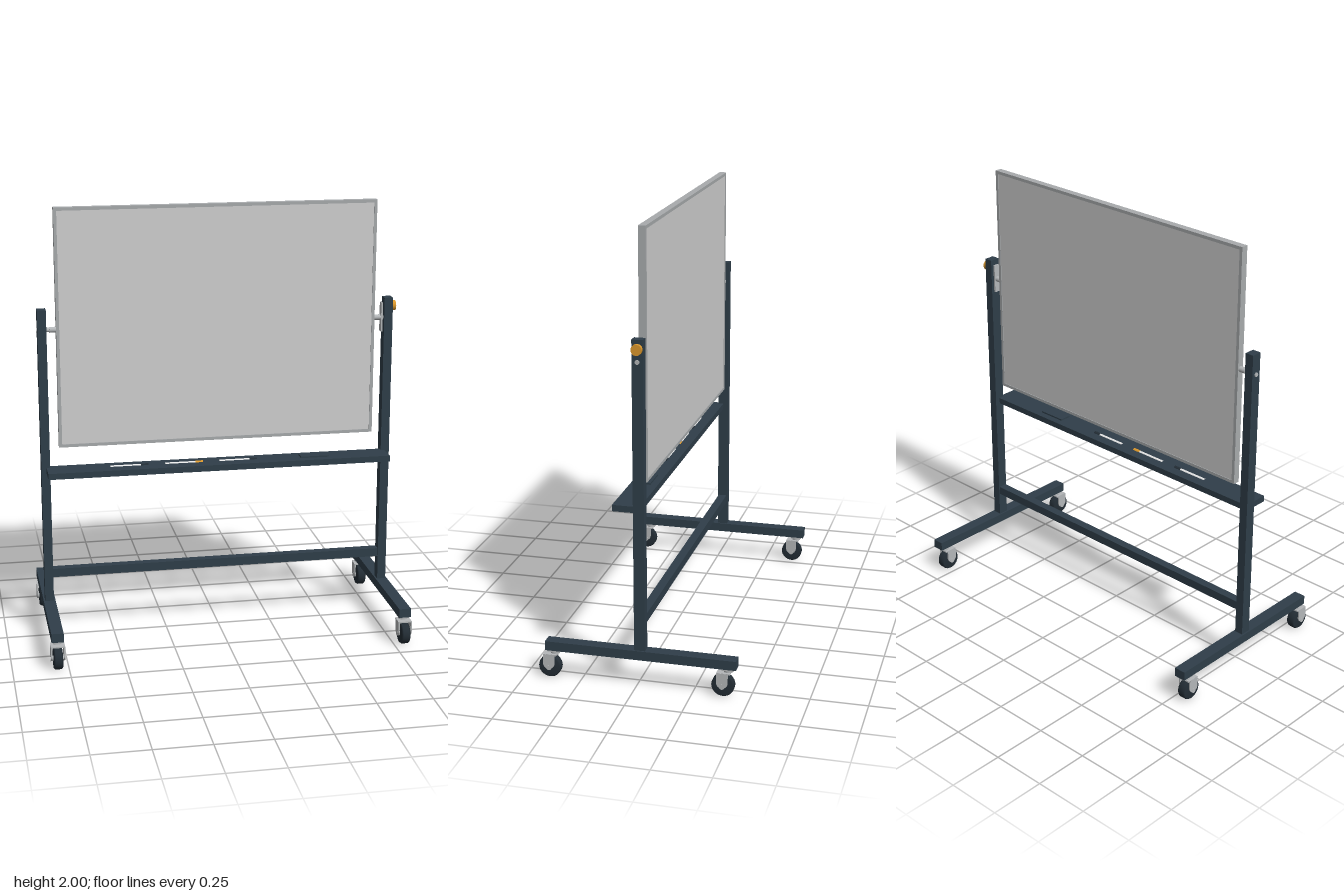
import * as THREE from 'three';

const CZ = -0.017; // depth of the post plane

export function createModel() {
  const model = new THREE.Group();
  model.name = 'mobileWhiteboard';
  const mat = (name, color) => {
    const m = new THREE.MeshStandardMaterial({ color });
    m.name = name;
    return m;
  };
  const steel = mat('dark steel', 0x2f3e49);
  const rubber = mat('rubber', 0x232d35);
  const metal = mat('light metal', 0xb4b7b9);
  const frameGrey = mat('frame grey', 0xa8abad);
  const panelWhite = mat('panel white', 0xd0d0d0);
  const penWhite = mat('pen white', 0xeeeeee);
  const amber = mat('amber', 0xdc982c);

  const add = (parent, name, geo, material, x, y, z) => {
    const m = new THREE.Mesh(geo, material);
    m.name = name;
    m.position.set(x, y, z);
    parent.add(m);
    return m;
  };
  const box = (parent, name, material, w, h, d, x, y, z) =>
    add(parent, name, new THREE.BoxGeometry(w, h, d), material, x, y, z);
  // Cylinder lying along x
  const rod = (parent, name, material, r, len, x, y, z, sides = 20) =>
    add(parent, name, new THREE.CylinderGeometry(r, r, len, sides).rotateZ(Math.PI / 2), material, x, y, z);

  // Writing board: frame with a through opening, panel slightly recessed on both faces
  const board = new THREE.Group();
  board.name = 'board';
  model.add(board);
  const W = 1.468, H = 1.092, D = 0.032, rim = 0.014;
  const rect = (T, w, h) => new T().moveTo(-w / 2, -h / 2).lineTo(w / 2, -h / 2)
    .lineTo(w / 2, h / 2).lineTo(-w / 2, h / 2).closePath();
  const outline = rect(THREE.Shape, W, H);
  outline.holes.push(rect(THREE.Path, W - 2 * rim, H - 2 * rim));
  const frameGeo = new THREE.ExtrudeGeometry(outline, { depth: D, bevelEnabled: false });
  frameGeo.translate(0, 0, -D / 2);
  add(board, 'boardFrame', frameGeo, frameGrey, 0, 2 - H / 2, CZ);
  box(board, 'boardPanel', panelWhite, W - 2 * rim, H - 2 * rim, D - 0.006, 0, 2 - H / 2, CZ);

  // Fork cheek: square top and rounded bottom, drawn in the z-y plane
  const cheek = new THREE.Shape();
  cheek.moveTo(0.025, 0.112).lineTo(-0.025, 0.112).lineTo(-0.025, 0.068);
  cheek.absarc(0, 0.068, 0.025, Math.PI, 2 * Math.PI, false);
  cheek.closePath();
  const cheekGeo = new THREE.ExtrudeGeometry(cheek, { depth: 0.006, bevelEnabled: false, curveSegments: 8 });
  cheekGeo.translate(0, 0, -0.003).rotateY(Math.PI / 2);

  // Swivel caster, its wheel trailing towards +z
  const caster = (x, z) => {
    const g = new THREE.Group();
    g.name = 'caster';
    g.position.set(x, 0, z);
    model.add(g);
    const trail = 0.022;
    box(g, 'mountPlate', metal, 0.05, 0.007, 0.055, 0, 0.127, 0);
    add(g, 'swivel', new THREE.CylinderGeometry(0.02, 0.02, 0.014, 20), metal, 0, 0.118, 0);
    box(g, 'forkCrown', metal, 0.062, 0.006, 0.06, 0, 0.11, trail - 0.005);
    for (const s of [-1, 1]) add(g, 'forkCheek', cheekGeo, metal, s * 0.029, 0, trail);
    const w = 0.02, r = 0.05;
    const profile = [[0.012, -w], [r - 0.005, -w], [r, -w + 0.007], [r, w - 0.007], [r - 0.005, w], [0.012, w]]
      .map(([a, b]) => new THREE.Vector2(a, b));
    const wheelGeo = new THREE.LatheGeometry(profile, 28).rotateZ(Math.PI / 2);
    add(g, 'wheel', wheelGeo, rubber, 0, r, trail);
    rod(g, 'axle', metal, 0.012, 0.066, 0, r, trail, 12);
  };

  // Stand: mirrored posts, feet, casters and pivots
  for (const s of [-1, 1]) {
    box(model, 'post', steel, 0.04, 1.387, 0.048, s * 0.798, 0.8535, CZ);
    box(model, 'foot', steel, 0.055, 0.042, 0.85, s * 0.798, 0.151, CZ);
    for (const z of [0.387, -0.387]) caster(s * 0.798, CZ + z);
    rod(model, 'pivot', metal, 0.01, 0.09, s * 0.777, 1.453, CZ);
    rod(model, 'pivotSleeve', metal, 0.013, 0.03, s * 0.749, 1.453, CZ);
  }
  rod(model, 'pivotEnd', metal, 0.008, 0.004, 0.819, 1.453, CZ, 12);
  box(model, 'lowerCrossbar', steel, 1.57, 0.04, 0.04, 0, 0.306, CZ);

  // Tilt lock on the model's left post
  box(model, 'lockPlate', metal, 0.008, 0.135, 0.028, 0.77, 1.455, CZ);
  rod(model, 'lockKnob', amber, 0.024, 0.016, 0.826, 1.507, CZ, 12);

  // Tray with markers and an eraser
  box(model, 'tray', steel, 1.59, 0.028, 0.122, 0, 0.804, CZ + 0.061);
  for (const [x, capMat] of [[-0.42, rubber], [-0.167, amber], [0.086, rubber]]) {
    const pen = new THREE.Group();
    pen.name = 'marker';
    pen.position.set(x, 0.8145, 0.038);
    model.add(pen);
    rod(pen, 'markerBody', penWhite, 0.008, 0.145, -0.015, 0, 0, 16);
    rod(pen, 'markerCap', capMat, 0.0095, 0.035, 0.071, 0, 0, 16);
  }
  box(model, 'eraser', steel, 0.132, 0.03, 0.054, 0.444, 0.81, 0.042);

  return model;
}
